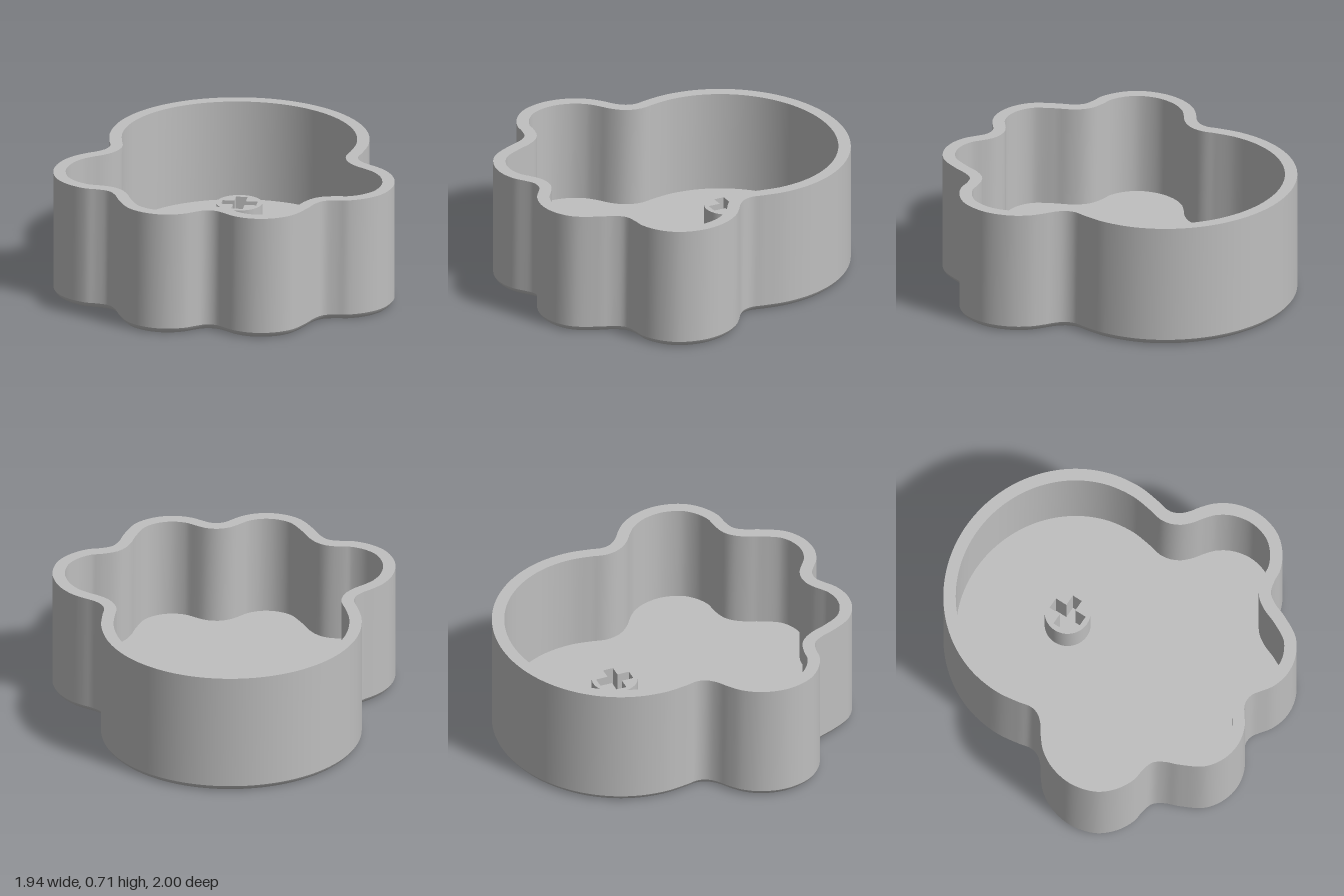
import * as THREE from 'three';
import { toCreasedNormals } from 'three/addons/utils/BufferGeometryUtils.js';

const HEIGHT = 0.715, FLOOR = 0.13, WALL = 0.07, STEPS = 320;

// Closed outline in (x, z): large rounded back, two side lobes, two front lobes
function makeOutline() {
  const half = [];
  for (const deg of [-90, -75, -60, -45, -30, -15, 0, 12]) {
    const a = THREE.MathUtils.degToRad(deg);
    half.push([0.735 * Math.cos(a), -0.315 + 0.685 * Math.sin(a)]);
  }
  half[0][0] = 0;
  half.push(
    [0.705, -0.1], [0.72, -0.045], [0.76, 0], [0.82, 0.042],                  // waist
    [0.885, 0.1], [0.944, 0.2], [0.968, 0.34], [0.93, 0.485], [0.85, 0.575],  // side lobe
    [0.75, 0.626], [0.68, 0.634], [0.61, 0.655], [0.568, 0.71],               // side notch
    [0.537, 0.788], [0.463, 0.918], [0.361, 0.983], [0.25, 1], [0.147, 0.974], // front lobe
    [0.073, 0.924], [0.04, 0.903], [0, 0.895]                                 // front notch
  );
  const mirrored = half.slice(1, -1).reverse().map(([x, z]) => [-x, z]);
  const points = [...half, ...mirrored].map(([x, z]) => new THREE.Vector3(x, 0, z));
  return new THREE.CatmullRomCurve3(points, true, 'centripetal').getSpacedPoints(STEPS).slice(0, STEPS);
}

// Outline moved inwards by a distance, as Vector2(x, z)
function inset(outline, d) {
  return outline.map((p, i) => {
    const a = outline[(i + STEPS - 1) % STEPS], b = outline[(i + 1) % STEPS];
    const t = b.clone().sub(a).normalize();
    return new THREE.Vector2(p.x - t.z * d, p.z + t.x * d);
  });
}

// Surface swept through [inset, height] rings
function loft(outline, profile) {
  const pos = [], idx = [];
  profile.forEach(([d, y], r) => inset(outline, d).forEach((p, i) => {
    pos.push(p.x, y, p.y);
    if (r === 0) return;
    const j = (i + 1) % STEPS, lo = (r - 1) * STEPS, hi = r * STEPS;
    idx.push(lo + i, hi + i, lo + j, lo + j, hi + i, hi + j);
  }));
  const geo = new THREE.BufferGeometry();
  geo.setAttribute('position', new THREE.Float32BufferAttribute(pos, 3));
  geo.setIndex(idx);
  return toCreasedNormals(geo, 0.35);
}

// Flat sheet filling the outline, facing up or down
function sheet(outline, d, y, up) {
  const s = up ? -1 : 1;
  const shape = new THREE.Shape(inset(outline, d).map(p => new THREE.Vector2(p.x, s * p.y)));
  return new THREE.ShapeGeometry(shape).rotateX(s * Math.PI / 2).translate(0, y, 0);
}

export function createModel() {
  const group = new THREE.Group();
  const grey = new THREE.MeshStandardMaterial({ color: 0xbfbfbf });
  grey.name = 'grey';
  const add = (name, geo) => {
    const mesh = new THREE.Mesh(geo, grey);
    mesh.name = name;
    group.add(mesh);
    return mesh;
  };
  const outline = makeOutline();

  // Rounded bottom edge, outer wall, rim and inner wall
  add('wall', loft(outline, [
    [0.027, 0], [0.016, 0.009], [0.008, 0.018], [0, 0.032],
    [0, HEIGHT], [WALL, HEIGHT], [WALL, FLOOR]
  ]));
  add('floor', sheet(outline, WALL, FLOOR, true));
  add('underside', sheet(outline, 0.027, 0, false));

  // Round post with a cross-shaped socket
  const post = new THREE.Shape().absarc(0, 0, 0.13, 0, Math.PI * 2);
  const L = 0.1, w = 0.033, h = 0.03;
  post.holes.push(new THREE.Path([
    [w, h], [w, L], [-w, L], [-w, h], [-L, h], [-L, -h],
    [-w, -h], [-w, -L], [w, -L], [w, -h], [L, -h], [L, h]
  ].map(([x, y]) => new THREE.Vector2(x, y))));
  const postGeo = new THREE.ExtrudeGeometry(post, { depth: 0.2, bevelEnabled: false, curveSegments: 32 });
  postGeo.rotateX(-Math.PI / 2);
  add('socketPost', toCreasedNormals(postGeo, 0.5)).position.set(0, FLOOR, -0.315);

  return group;
}
